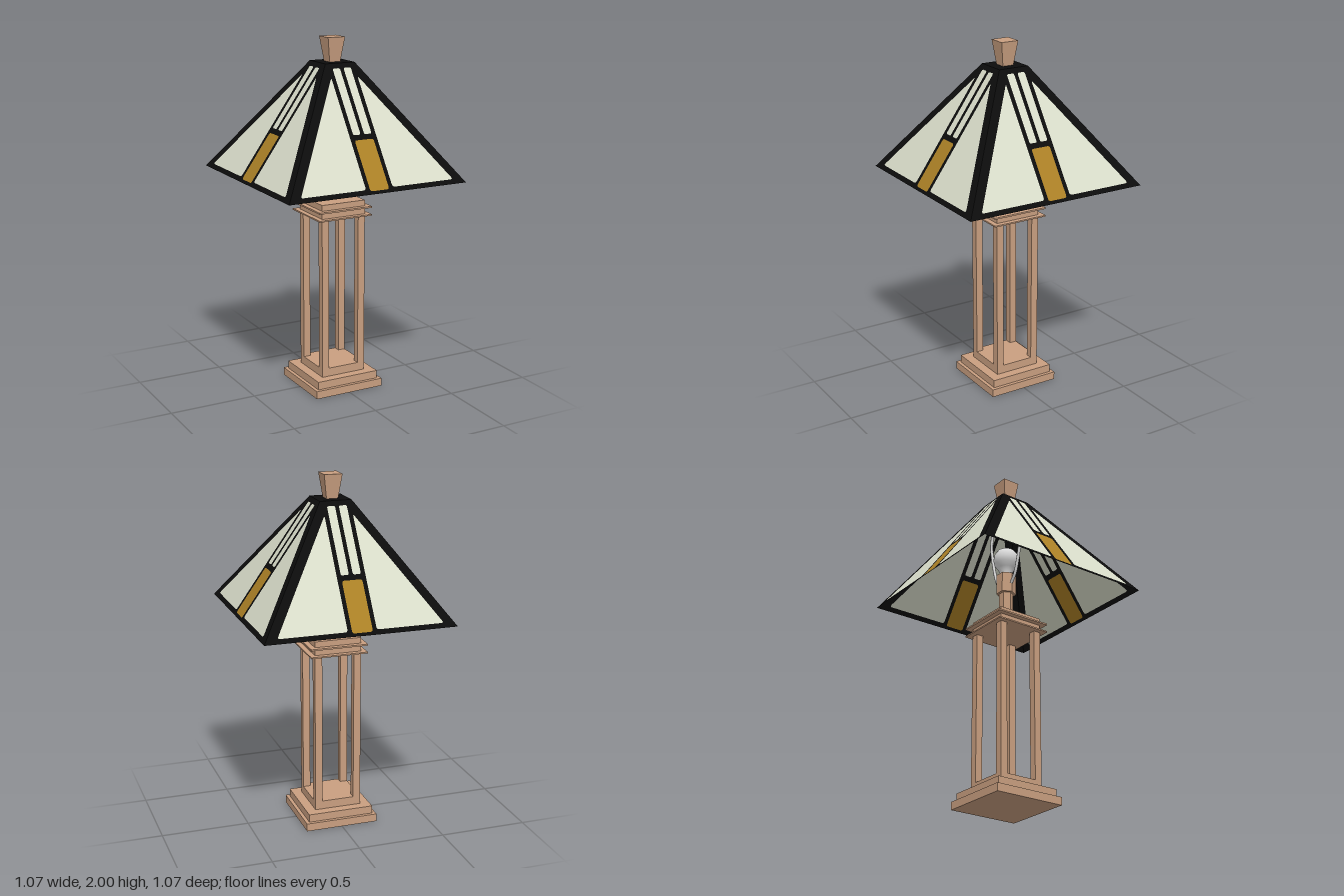
import * as THREE from 'three';

const mat = (name, color, side = THREE.FrontSide) => {
  const m = new THREE.MeshStandardMaterial({ color, side });
  m.name = name;
  return m;
};

// Shade profile: half-width falls linearly with height
const Y0 = 1.235, Y1 = 1.865, H0 = 0.535, H1 = 0.09;
const halfAt = y => H0 - (H0 - H1) * (y - Y0) / (Y1 - Y0);
const yAt = h => Y0 + (H0 - h) * (Y1 - Y0) / (H0 - H1);

// Trace a polygon with small rounded corners
function trace(path, pts, r) {
  const v = pts.map(p => new THREE.Vector2(...p));
  v.forEach((p, i) => {
    const a = v[(i + v.length - 1) % v.length], b = v[(i + 1) % v.length];
    const s = p.clone().add(a.clone().sub(p).setLength(r));
    const e = p.clone().add(b.clone().sub(p).setLength(r));
    if (i === 0) path.moveTo(s.x, s.y); else path.lineTo(s.x, s.y);
    path.quadraticCurveTo(p.x, p.y, e.x, e.y);
  });
  path.closePath();
  return path;
}

// Lay a shape drawn in front elevation onto the sloping shade face
function onSlope(shape) {
  const g = new THREE.ShapeGeometry(shape, 3);
  const p = g.attributes.position;
  for (let i = 0; i < p.count; i++) p.setZ(i, halfAt(p.getY(i)));
  g.computeVertexNormals();
  return g;
}

function faceted(rTop, rBottom, h, sides, turn) {
  const g = new THREE.CylinderGeometry(rTop, rBottom, h, sides).rotateY(turn).toNonIndexed();
  g.computeVertexNormals();
  return g;
}

export function createModel() {
  const lamp = new THREE.Group();
  lamp.name = 'tableLamp';
  const wood = mat('wood', 0xc99f80);
  const lead = mat('blackLeading', 0x0c0c0c, THREE.DoubleSide);
  const cream = mat('creamGlass', 0xd9ddca, THREE.DoubleSide);
  const amber = mat('amberGlass', 0xac8126, THREE.DoubleSide);
  const white = mat('bulbWhite', 0xdcdcdc);

  const add = (name, geo, material, parent = lamp) => {
    const m = new THREE.Mesh(geo, material);
    m.name = name;
    parent.add(m);
    return m;
  };
  const slab = (name, half, y0, y1) =>
    add(name, new THREE.BoxGeometry(half * 2, y1 - y0, half * 2), wood).position.set(0, (y0 + y1) / 2, 0);

  // Stepped base and layered top platform
  slab('baseLower', 0.21, 0, 0.045);
  slab('baseMiddle', 0.19, 0.045, 0.09);
  slab('baseUpper', 0.135, 0.09, 0.138);
  slab('platformLowerPlate', 0.165, 1.01, 1.018);
  slab('platformBlock', 0.135, 1.018, 1.055);
  slab('platformUpperPlate', 0.165, 1.055, 1.064);
  slab('platformCap', 0.135, 1.064, 1.097);

  // Corner posts
  for (const x of [-1, 1]) for (const z of [-1, 1])
    add('post', new THREE.BoxGeometry(0.042, 0.872, 0.042), wood).position.set(x * 0.114, 0.574, z * 0.114);

  // Hexagonal stem and socket
  add('stem', faceted(0.04, 0.04, 0.18, 6, Math.PI / 6), wood).position.y = 1.187;
  add('socket', faceted(0.056, 0.056, 0.12, 6, Math.PI / 6), wood).position.y = 1.325;

  // Bulb
  const bulb = [[0.034, 1.38], [0.036, 1.405], [0.05, 1.43], [0.068, 1.455], [0.074, 1.485],
    [0.068, 1.517], [0.05, 1.542], [0.026, 1.555], [0, 1.559]].map(p => new THREE.Vector2(...p));
  add('bulb', new THREE.LatheGeometry(bulb, 20), white);

  // Harp carrying the shade
  const arm = [[0.05, 1.32], [0.085, 1.37], [0.135, 1.56], [0.143, 1.66], [0.105, 1.77]];
  const harp = [...arm.map(([x, y]) => [-x, y]), [0, 1.845], ...arm.slice().reverse()];
  const curve = new THREE.CatmullRomCurve3(harp.map(([x, y]) => new THREE.Vector3(x, y, 0)));
  add('harp', new THREE.TubeGeometry(curve, 48, 0.009, 8), white);

  // Glass openings on one face of the shade
  const bottom = 1.258, inner = 0.08, ridge = 0.058;
  const mirror = pts => pts.map(([x, y]) => [-x, y]).reverse();
  const side = [[inner, bottom], [halfAt(bottom) - ridge, bottom], [inner, yAt(inner + ridge)]];
  const slit = [[0.011, 1.515], [0.056, 1.515], [0.056, 1.84], [0.011, 1.84]];
  const tile = [[-0.057, 1.25], [0.057, 1.25], [0.057, 1.49], [-0.057, 1.49]];
  const panes = [
    ['sidePane', side, cream, 0.014], ['sidePane', mirror(side), cream, 0.014],
    ['slitPane', slit, cream, 0.009], ['slitPane', mirror(slit), cream, 0.009],
    ['amberPane', tile, amber, 0.012],
  ];

  // Four sloping faces: leading with the panes set in its openings
  for (let i = 0; i < 4; i++) {
    const face = new THREE.Group();
    face.name = 'shadeFace';
    face.rotation.y = i * Math.PI / 2;
    const frame = new THREE.Shape([[-H0, Y0], [H0, Y0], [H1, Y1], [-H1, Y1]].map(p => new THREE.Vector2(...p)));
    for (const [name, pts, material, r] of panes) {
      frame.holes.push(trace(new THREE.Path(), pts, r));
      add(name, onSlope(trace(new THREE.Shape(), pts, r)), material, face);
    }
    add('leading', onSlope(frame), lead, face);
    lamp.add(face);
  }

  // Shade cap and tapered finial
  add('shadeCap', new THREE.BoxGeometry(H1 * 2, 0.008, H1 * 2), lead).position.y = Y1 - 0.004;
  add('finial', faceted(0.052 * Math.SQRT2, 0.033 * Math.SQRT2, 0.135, 4, Math.PI / 4), wood).position.y = 1.9325;

  return lamp;
}
